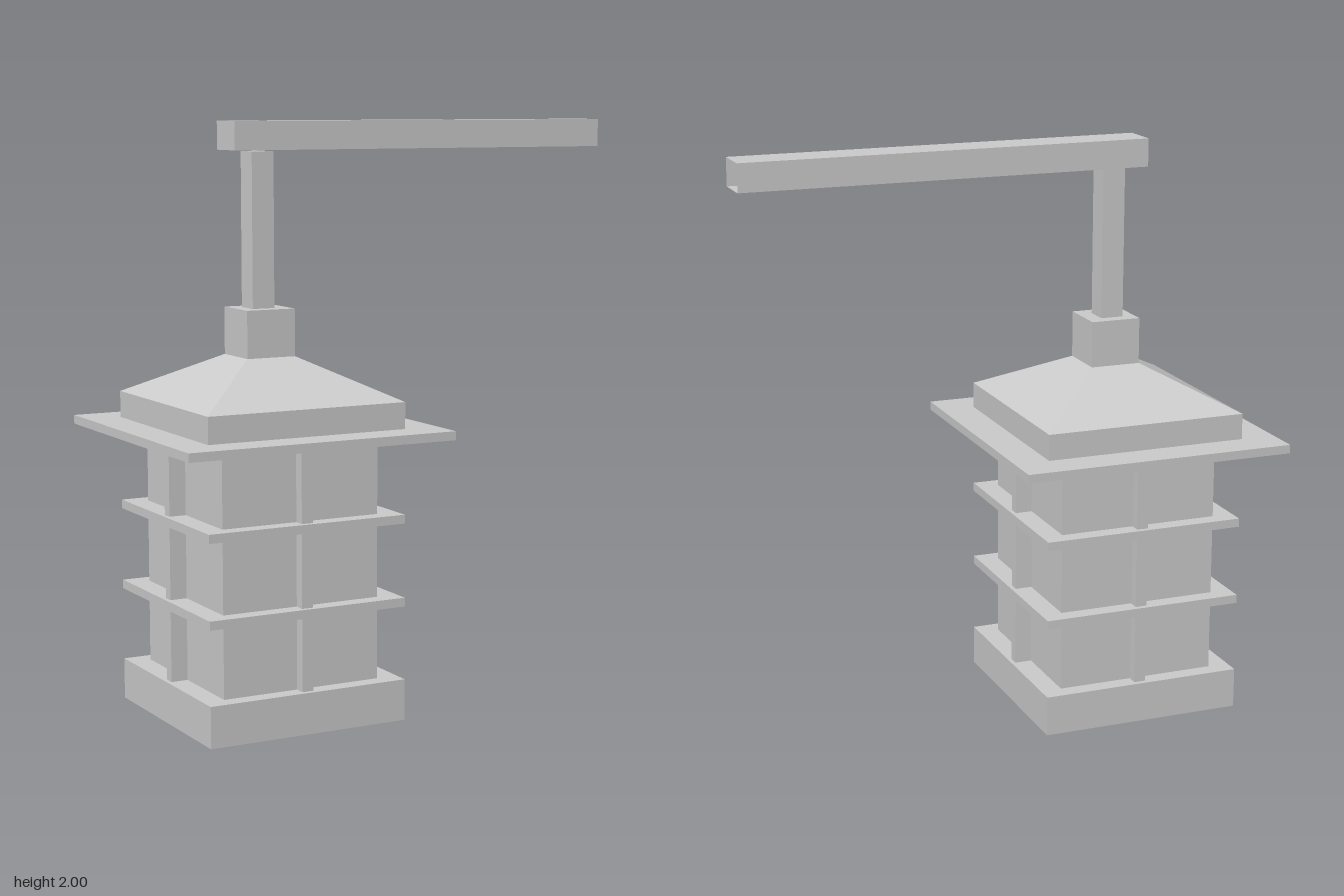
import * as THREE from 'three';

const CX = -0.423; // lantern axis

export function createModel() {
  const model = new THREE.Group();
  const material = new THREE.MeshStandardMaterial({ color: 0xcccccc, flatShading: true });

  const add = (name, geometry, x, y, z, parent = model, mat = material) => {
    const mesh = new THREE.Mesh(geometry, mat);
    mesh.name = name;
    mesh.position.set(x, y, z);
    parent.add(mesh);
    return mesh;
  };
  // box between two heights, centred on x and z
  const slab = (name, w, d, y0, y1, x = 0, z = 0, parent = lantern) =>
    add(name, new THREE.BoxGeometry(w, y1 - y0, d), x, (y0 + y1) / 2, z, parent);

  const lantern = new THREE.Group();
  lantern.name = 'lantern';
  lantern.position.x = CX;
  model.add(lantern);

  // base and body
  slab('base', 0.716, 0.716, 0, 0.14);
  slab('body', 0.568, 0.602, 0.14, 0.96);

  // upright bars in the middle of each side
  for (const s of [-1, 1]) {
    slab('sideBar', 0.06, 0.038, 0.14, 0.96, s * 0.313, -0.005);
    slab('faceBar', 0.04, 0.04, 0.14, 0.96, 0.002, s * 0.32);
  }

  // horizontal bands
  for (const y of [0.39, 0.672]) slab('band', 0.716, 0.716, y, y + 0.03);

  // roof: brim, skirt, sloped hip and collar
  slab('brim', 0.96, 0.96, 0.96, 0.99);
  slab('roofSkirt', 0.716, 0.716, 0.99, 1.08);
  const hip = new THREE.CylinderGeometry(0.088 * Math.SQRT2, 0.358 * Math.SQRT2, 0.14, 4);
  hip.rotateY(Math.PI / 4);
  add('roofSlope', hip, 0, 1.15, 0, lantern);
  slab('collar', 0.176, 0.176, 1.22, 1.38);

  // hanging post
  slab('post', 0.08, 0.084, 1.38, 1.9, -0.004, -0.002);

  // thin-walled arm, open at its far end (the +x face is dropped)
  const armGeometry = new THREE.BoxGeometry(1.433, 0.096, 0.136);
  armGeometry.setIndex(Array.from(armGeometry.index.array).slice(6));
  armGeometry.clearGroups();
  const armMaterial = material.clone();
  armMaterial.side = THREE.DoubleSide;
  add('arm', armGeometry, 0.18, 1.952, -0.012, model, armMaterial);

  return model;
}
